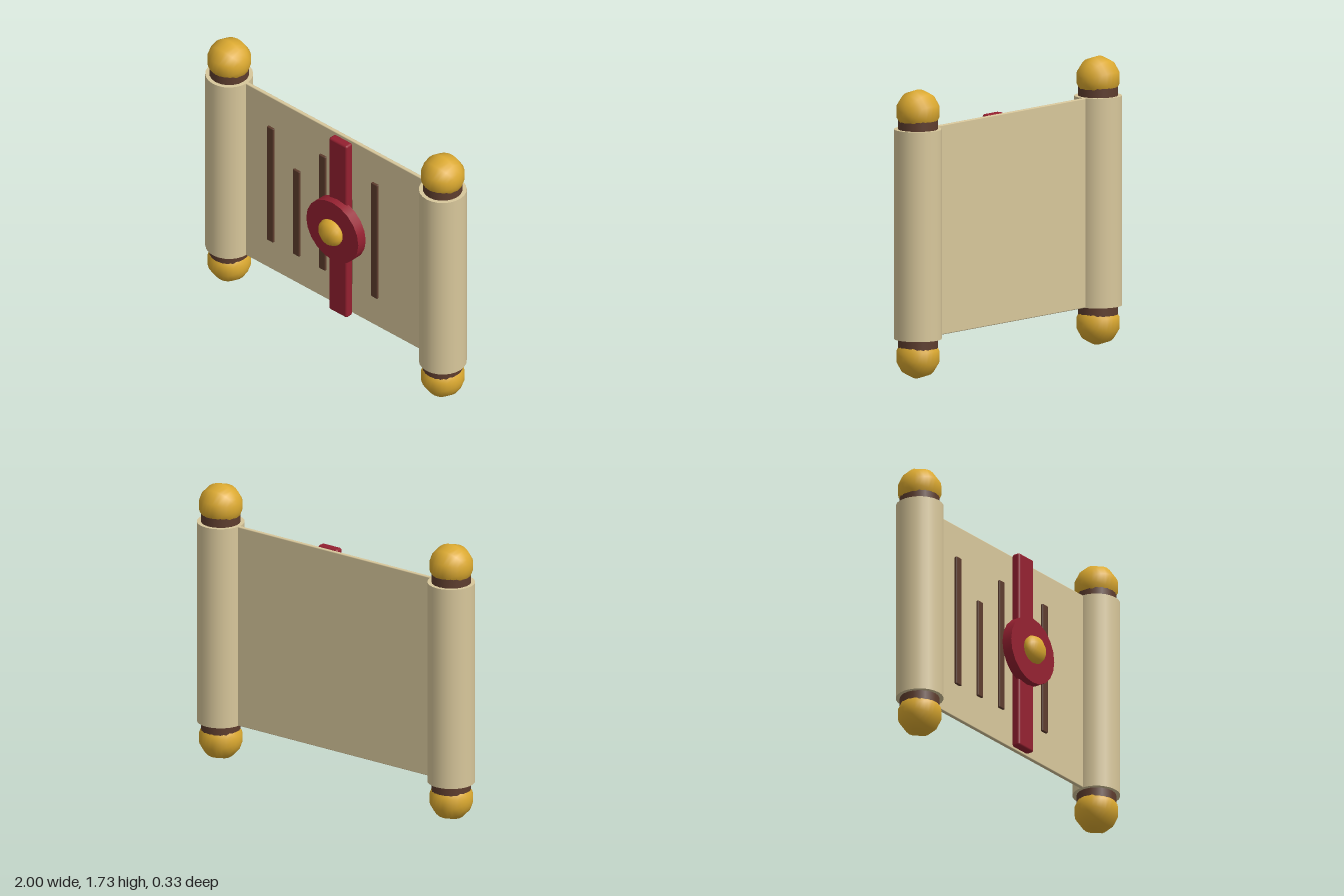
import * as THREE from 'three';
import { RoundedBoxGeometry } from 'three/addons/geometries/RoundedBoxGeometry.js';

const material = (name, color) => {
  const m = new THREE.MeshStandardMaterial({ color });
  m.name = name;
  return m;
};

export function createModel() {
  const parchment = material('parchment', 0xd8c79b);
  const wood = material('dark wood', 0x5e3d2e);
  const gold = material('gold', 0xdba930);
  const red = material('red wax', 0x942030);

  const model = new THREE.Group();
  model.name = 'scroll';
  const add = (name, geometry, mat, x, y, z, parent = model) => {
    const mesh = new THREE.Mesh(geometry, mat);
    mesh.name = name;
    mesh.position.set(x, y, z);
    parent.add(mesh);
    return mesh;
  };

  const midY = 0.869, height = 1.254;

  // Faceted ball with its poles pointing sideways
  const ball = (r) => new THREE.SphereGeometry(r, 10, 14).rotateX(Math.PI / 2).rotateY(Math.PI / 2)
    .rotateX(Math.PI / 2);

  // Open sheet
  add('sheet', new RoundedBoxGeometry(1.56, height, 0.025, 1, 0.006), parchment, 0, midY, -0.025);

  // Rolled ends with rods and knobs
  for (const side of [-1, 1]) {
    const roller = new THREE.Group();
    roller.name = side > 0 ? 'leftRoller' : 'rightRoller';
    roller.position.set(side * 0.858, 0, -0.021);
    model.add(roller);
    add('roll', new THREE.CylinderGeometry(0.142, 0.142, height, 24), parchment, 0, midY, 0, roller);
    add('rod', new THREE.CylinderGeometry(0.118, 0.118, 1.47, 20), wood, 0, midY, 0, roller);
    add('topKnob', ball(0.132), gold, 0, 1.601, 0, roller);
    add('bottomKnob', ball(0.132), gold, 0, 0.137, 0, roller);
  }

  // Ink strokes, alternating long and short
  for (let i = 0; i < 5; i++) {
    const length = i % 2 ? 0.62 : 0.83;
    add('inkStroke', new RoundedBoxGeometry(0.052, length, 0.018, 1, 0.006), wood,
      -0.507 + i * 0.209, 0.455 + length / 2, -0.003);
  }

  // Ribbon and seal
  const sealX = 0.082;
  add('ribbon', new RoundedBoxGeometry(0.145, height, 0.055, 2, 0.014), red, sealX, midY, 0.027);
  add('seal', new THREE.CylinderGeometry(0.209, 0.209, 0.065, 20).rotateX(Math.PI / 2), red, sealX, midY, 0.068);
  add('sealStud', ball(0.088).scale(1, 1, 0.6), gold, sealX, midY, 0.115);

  return model;
}
